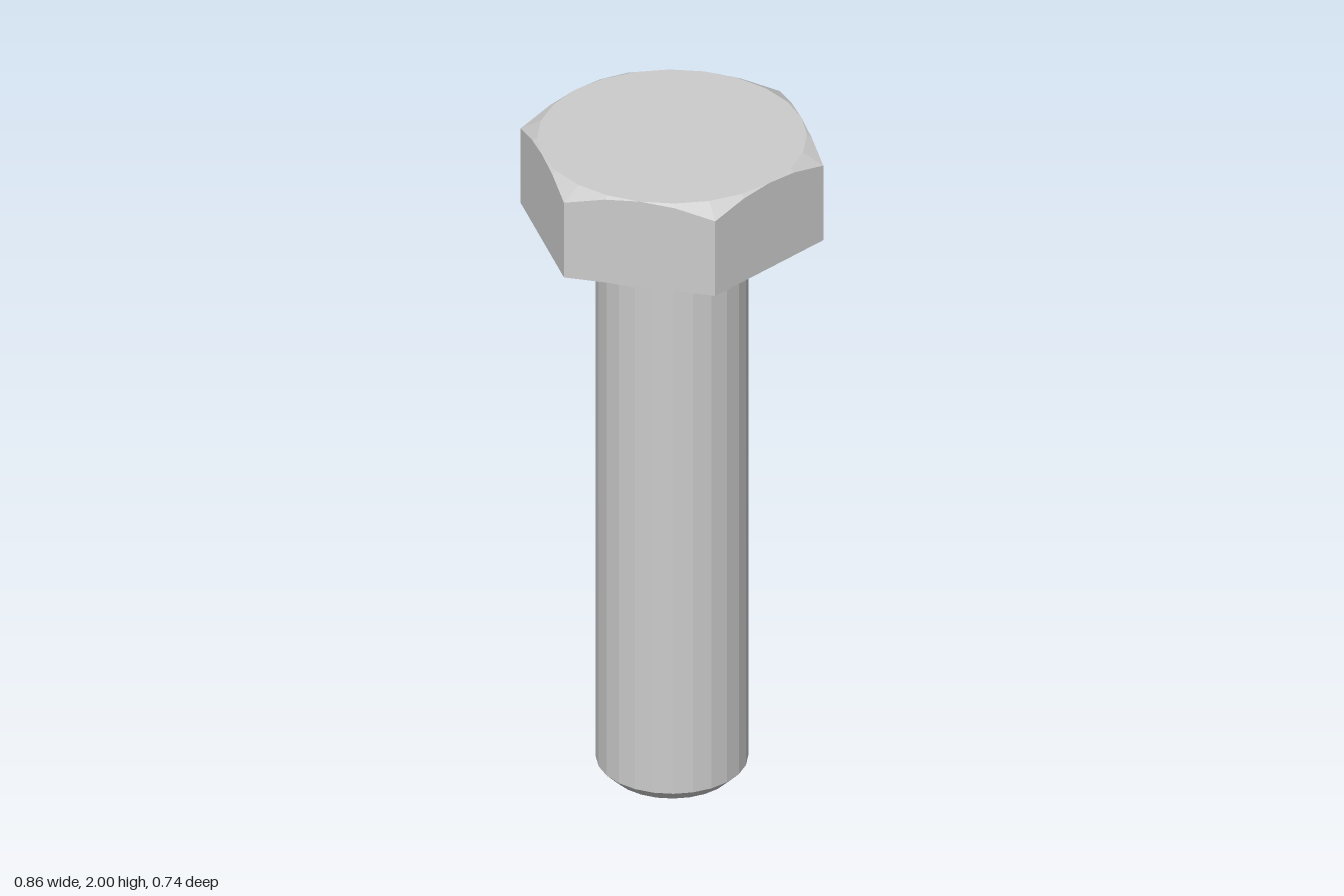
import * as THREE from 'three';

const SEG = 24;
const APOTHEM = 0.3715;
const HEAD_BOTTOM = 1.73, TOP = 2;

const material = new THREE.MeshStandardMaterial({ color: 0xcccccc, flatShading: true });

// Radius of a hexagon (corners on +x and -x) at angle t
function hexRadius(t) {
  const step = Math.PI / 3;
  const local = ((t % step) + step) % step - step / 2;
  return APOTHEM / Math.cos(local);
}

// Skin stacked rings, each a function angle -> [radius, y], from bottom to top
function skinRings(rings) {
  const pos = [], index = [];
  for (const ring of rings) {
    for (let j = 0; j < SEG; j++) {
      const t = (j / SEG) * Math.PI * 2;
      const [r, y] = ring(t);
      pos.push(r * Math.cos(t), y, -r * Math.sin(t));
    }
  }
  for (let i = 0; i < rings.length - 1; i++) {
    for (let j = 0; j < SEG; j++) {
      const k = (j + 1) % SEG;
      const a = i * SEG + j, b = i * SEG + k, c = b + SEG, d = a + SEG;
      index.push(a, b, c, a, c, d);
    }
  }
  const indexed = new THREE.BufferGeometry();
  indexed.setAttribute('position', new THREE.Float32BufferAttribute(pos, 3));
  indexed.setIndex(index);
  const geometry = indexed.toNonIndexed();
  geometry.computeVertexNormals();
  return geometry;
}

function lathe(points) {
  const profile = points.map(([r, y]) => new THREE.Vector2(r, y));
  const geometry = new THREE.LatheGeometry(profile, SEG).toNonIndexed();
  geometry.computeVertexNormals();
  return geometry;
}

export function createModel() {
  const bolt = new THREE.Group();
  bolt.name = 'hexBolt';
  const add = (name, geometry) => {
    const mesh = new THREE.Mesh(geometry, material);
    mesh.name = name;
    bolt.add(mesh);
  };

  // Hexagonal head, its corners cut by a 30 degree cone
  const chamferY = (r) => TOP - (r - APOTHEM) * Math.tan(Math.PI / 6);
  add('head', skinRings([
    () => [0.338, HEAD_BOTTOM],
    (t) => [hexRadius(t), HEAD_BOTTOM],
    (t) => [hexRadius(t), chamferY(hexRadius(t))],
    () => [APOTHEM, TOP],
    () => [0, TOP],
  ]));

  // Round bearing face under the head
  add('washerFace', lathe([[0.23, 1.703], [0.338, 1.703], [0.338, HEAD_BOTTOM]]));

  // Shank with a chamfered tip and a small fillet below the head
  add('shank', lathe([
    [0, 0], [0.175, 0], [0.21, 0.035], [0.21, 1.683],
    [0.213, 1.693], [0.22, 1.7], [0.23, 1.703],
  ]));

  return bolt;
}
